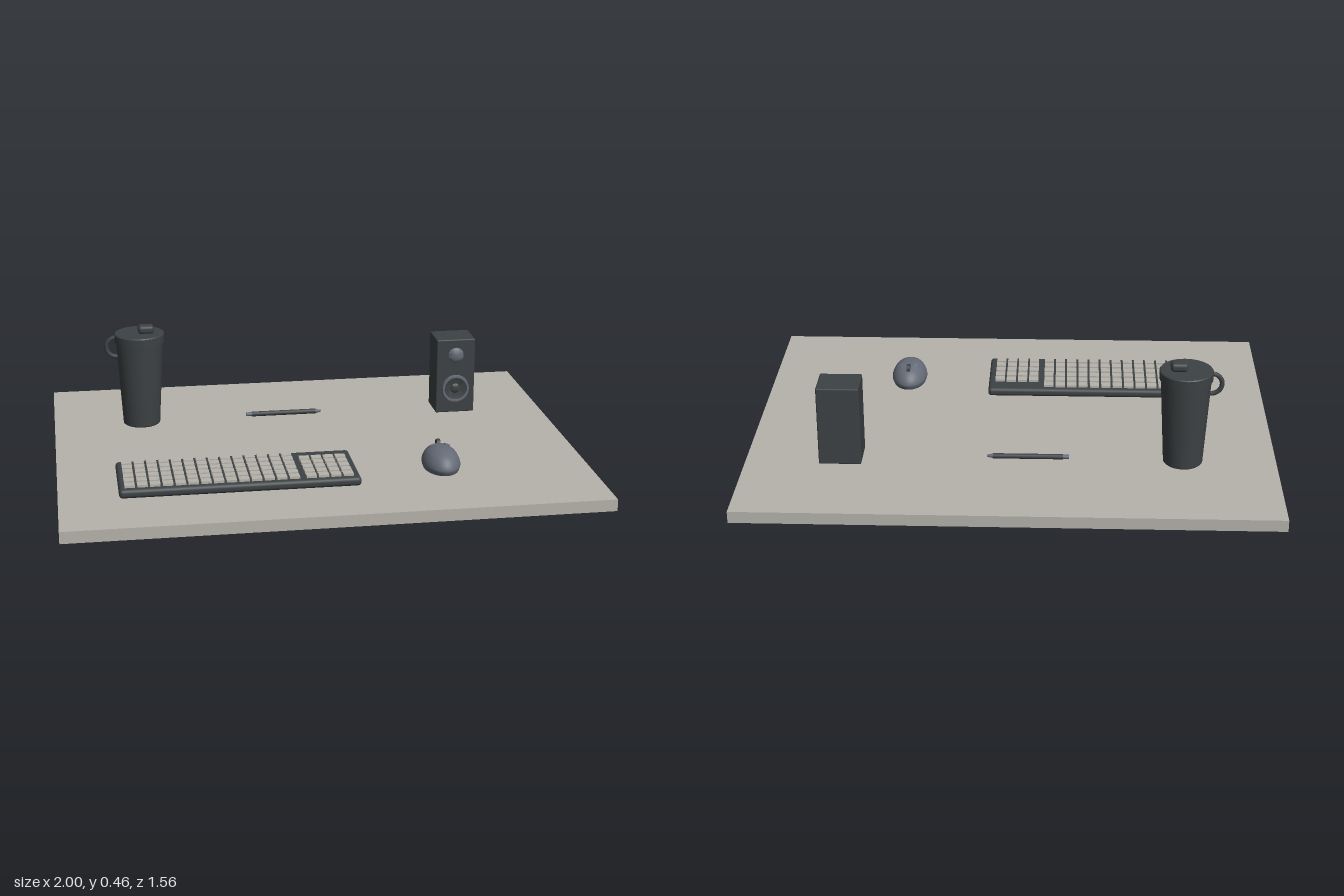
import * as THREE from 'three';
import { RoundedBoxGeometry } from 'three/addons/geometries/RoundedBoxGeometry.js';
import { toCreasedNormals } from 'three/addons/utils/BufferGeometryUtils.js';

function material(name, color) {
  const m = new THREE.MeshStandardMaterial({ color });
  m.name = name;
  return m;
}

export function createModel() {
  const pale = material('pale grey', 0xb6b3ab);
  const dark = material('charcoal', 0x3d4244);
  const slate = material('slate grey', 0x656b77);

  const model = new THREE.Group();
  model.name = 'deskSet';
  const TOP = 0.045;

  function group(name, x, z) {
    const g = new THREE.Group();
    g.name = name;
    g.position.set(x, TOP, z);
    model.add(g);
    return g;
  }
  function add(parent, name, geometry, mat, x = 0, y = 0, z = 0) {
    const mesh = new THREE.Mesh(geometry, mat);
    mesh.name = name;
    mesh.position.set(x, y, z);
    parent.add(mesh);
    return mesh;
  }
  function lathe(points, segments = 40) {
    const g = new THREE.LatheGeometry(points.map(p => new THREE.Vector2(...p)), segments);
    return toCreasedNormals(g, 0.6);
  }

  // Desk mat
  add(model, 'deskTop', new THREE.BoxGeometry(2, TOP, 1.556), pale, 0, TOP / 2, 0);

  // Keyboard: rounded case, main key block and number pad
  const keyboard = group('keyboard', -0.335, 0.354);
  add(keyboard, 'keyboardCase', new RoundedBoxGeometry(0.89, 0.034, 0.31, 3, 0.014), dark, 0, 0.017, 0);
  const keyGeo = new THREE.BoxGeometry(0.038, 0.014, 0.034);
  for (let row = 0; row < 6; row++) {
    const z = -0.115 + row * 0.0458;
    for (let col = 0; col < 14; col++) {
      add(keyboard, 'key', keyGeo, pale, -0.405 + col * 0.0465, 0.036, z);
    }
    if (row === 0) continue;
    for (let col = 0; col < 4; col++) {
      add(keyboard, 'numberKey', keyGeo, pale, 0.262 + col * 0.0458, 0.036, z);
    }
  }

  // Travel mug: tapered body, lid, stopper and ring handle
  const mug = group('mug', -0.648, -0.336);
  add(mug, 'mugBody', lathe([[0, 0], [0.07, 0], [0.074, 0.004], [0.094, 0.345], [0, 0.345]]), dark);
  add(mug, 'mugLid', lathe([[0, 0.343], [0.099, 0.343], [0.1, 0.375], [0.097, 0.379], [0, 0.379]]), dark);
  add(mug, 'lidStopper', new RoundedBoxGeometry(0.064, 0.034, 0.05, 3, 0.013), dark, 0.027, 0.393, 0);
  add(mug, 'mugHandle', new THREE.TorusGeometry(0.04, 0.009, 10, 32), dark, -0.093, 0.324, 0);

  // Pen lying on the desk with a pale cap and tip
  const pen = group('pen', -0.065, -0.337);
  const penParts = [
    ['penBody', 0.01, 0.01, 0.264, 0, dark],
    ['penCap', 0.008, 0.008, 0.024, -0.143, slate],
    ['penTip', 0.004, 0.009, 0.024, 0.143, slate],
  ];
  for (const [name, rEnd, rStart, length, x, mat] of penParts) {
    const part = add(pen, name, new THREE.CylinderGeometry(rEnd, rStart, length, 16), mat, x, 0.01, 0);
    part.rotation.z = -Math.PI / 2;
  }

  // Speaker: cabinet, tweeter dome and woofer with raised ring
  const speaker = group('speaker', 0.64, -0.336);
  add(speaker, 'speakerCabinet', new RoundedBoxGeometry(0.16, 0.312, 0.138, 2, 0.005), dark, 0, 0.156, 0);
  function driver(name, points, mat, y) {
    add(speaker, name, lathe(points), mat, 0, y, 0.068).rotation.x = Math.PI / 2;
  }
  driver('tweeter', [[0.033, 0], [0.029, 0.006], [0.018, 0.012], [0, 0.015]], slate, 0.245);
  driver('wooferRing', [[0.057, 0], [0.055, 0.014], [0.047, 0.014], [0.045, 0]], slate, 0.104);
  driver('wooferCone', [[0.046, 0.01], [0.02, 0.004], [0.014, 0.009], [0, 0.011]], dark, 0.104);

  // Computer mouse: oval shell, two button plates and a scroll wheel
  const mouse = group('mouse', 0.441, 0.353);
  const profile = [[0, 0], [0.92, 0], [0.99, 0.014], [1, 0.025], [0.93, 0.042], [0.76, 0.062], [0.5, 0.076], [0.25, 0.082], [0, 0.083]];
  const shellGeo = new THREE.LatheGeometry(
    new THREE.SplineCurve(profile.slice(1).map(p => new THREE.Vector2(...p))).getPoints(24), 40);
  shellGeo.scale(0.071, 1, 0.111);
  add(mouse, 'mouseShell', shellGeo, slate);
  const base = new THREE.CylinderGeometry(0.92, 0.92, 0.004, 40);
  base.scale(0.071, 1, 0.111);
  add(mouse, 'mouseBase', base, dark, 0, 0.002, 0);
  for (const side of [-1, 1]) {
    const button = add(mouse, 'mouseButton', new RoundedBoxGeometry(0.021, 0.007, 0.062, 2, 0.003), slate,
      side * 0.023, 0.069, -0.05);
    button.rotation.set(-0.38, side * 0.22, -side * 0.3);
  }
  const wheel = add(mouse, 'scrollWheel', new THREE.CylinderGeometry(0.018, 0.018, 0.014, 24), dark, 0, 0.074, -0.055);
  wheel.rotation.z = Math.PI / 2;

  return model;
}
